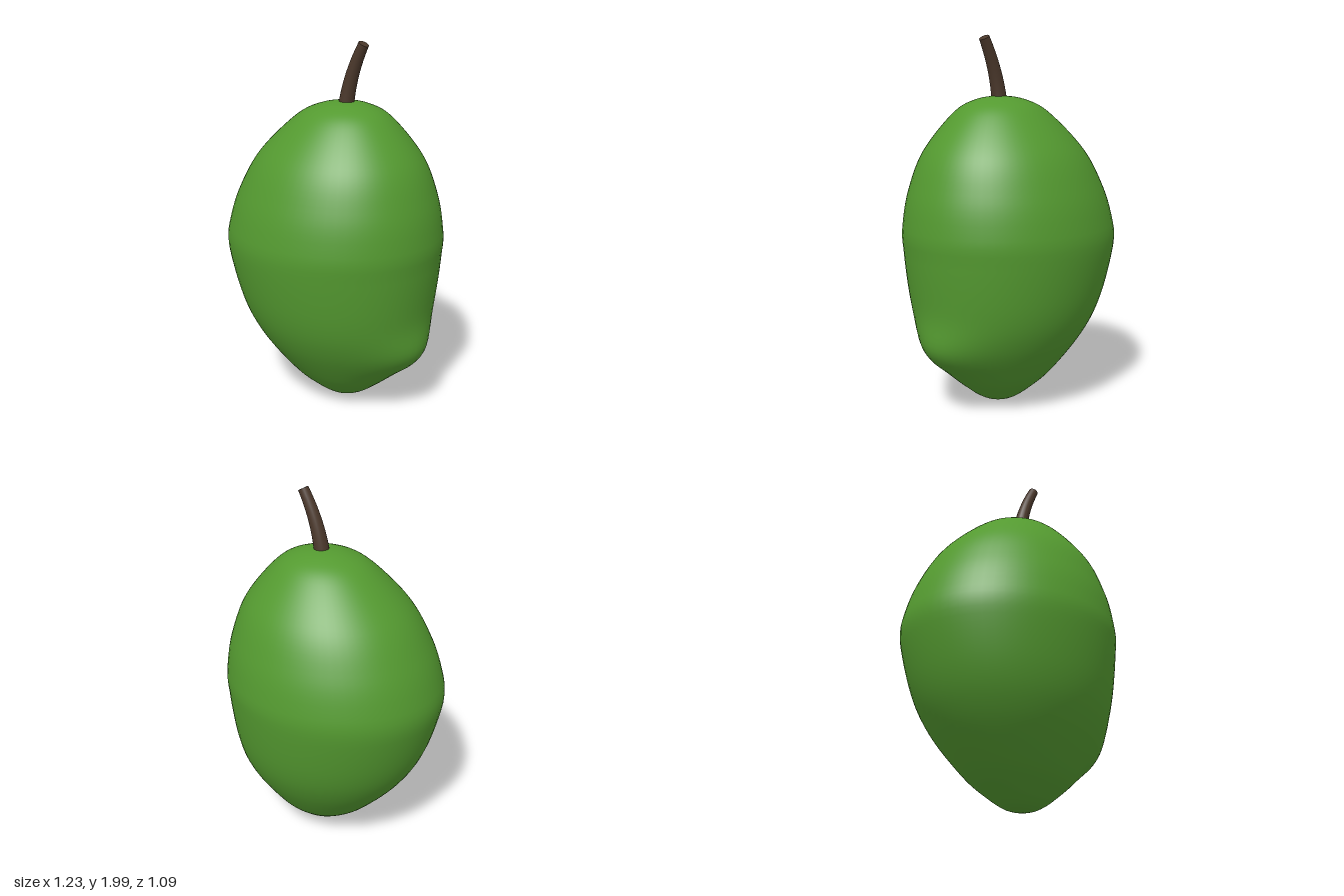
import * as THREE from 'three';

const skin = new THREE.MeshStandardMaterial({ name: 'green skin', color: 0x549a30 });
const bark = new THREE.MeshStandardMaterial({ name: 'brown stem', color: 0x4b382b });

// Fruit: elliptical rings along a gently bowed axis, with a beak low on the +x side
function fruitGeometry(sides = 64, rings = 72) {
  // Relative girth against height
  const profile = new THREE.SplineCurve([
    [0, 0.008], [0.16, 0.03], [0.335, 0.1], [0.515, 0.2], [0.765, 0.4], [0.91, 0.6], [1, 0.89],
    [0.985, 1.03], [0.908, 1.2], [0.745, 1.4], [0.44, 1.6], [0.22, 1.67], [0, 1.69],
  ].map(([r, y]) => new THREE.Vector2(r, y))).getSpacedPoints(rings);

  const positions = [];
  const indices = [];
  const axisX = (y) => 0.08 * Math.min(1, Math.abs(y - 0.89) / 0.82) ** 1.2;
  for (let i = 1; i < rings; i++) {
    const { x: girth, y } = profile[i];
    const beak = 0.085 * Math.exp(-(((y - 0.35) / 0.15) ** 2)) * Math.min(1, girth * 1.6);
    for (let j = 0; j < sides; j++) {
      const a = (j / sides) * Math.PI * 2;
      const bump = beak * Math.max(0, Math.cos(a)) ** 5;
      positions.push(axisX(y) + 0.613 * girth * Math.cos(a) + bump, y, 0.542 * girth * Math.sin(a));
    }
  }
  // Poles
  const bottom = (rings - 1) * sides;
  const top = bottom + 1;
  positions.push(0.08, profile[0].y, 0, 0.08, profile[rings].y, 0);

  const last = (rings - 2) * sides;
  for (let j = 0; j < sides; j++) {
    const k = (j + 1) % sides;
    indices.push(bottom, j, k, top, last + k, last + j);
    for (let i = 0; i < rings - 2; i++) {
      const a = i * sides + j, b = i * sides + k;
      indices.push(a, a + sides, b, b, a + sides, b + sides);
    }
  }
  const geometry = new THREE.BufferGeometry();
  geometry.setAttribute('position', new THREE.Float32BufferAttribute(positions, 3));
  geometry.setIndex(indices);
  geometry.computeVertexNormals();
  return geometry;
}

// Stem: a tapered cylinder bent along a curve
function stemGeometry() {
  const geometry = new THREE.CylinderGeometry(0.028, 0.042, 1, 20, 14);
  const curve = new THREE.QuadraticBezierCurve(
    new THREE.Vector2(0.08, 1.65), new THREE.Vector2(0.1, 1.82), new THREE.Vector2(0.192, 1.989));
  const p = geometry.attributes.position;
  for (let i = 0; i < p.count; i++) {
    const s = THREE.MathUtils.clamp(p.getY(i) + 0.5, 0, 1);
    const c = curve.getPoint(s);
    const t = curve.getTangent(s);
    const x = p.getX(i);
    p.setXY(i, c.x + x * t.y, c.y - x * t.x);
  }
  geometry.computeVertexNormals();
  return geometry;
}

export function createModel() {
  const model = new THREE.Group();
  model.name = 'mango';
  const fruit = new THREE.Mesh(fruitGeometry(), skin);
  fruit.name = 'fruit';
  const stem = new THREE.Mesh(stemGeometry(), bark);
  stem.name = 'stem';
  model.add(fruit, stem);
  return model;
}
